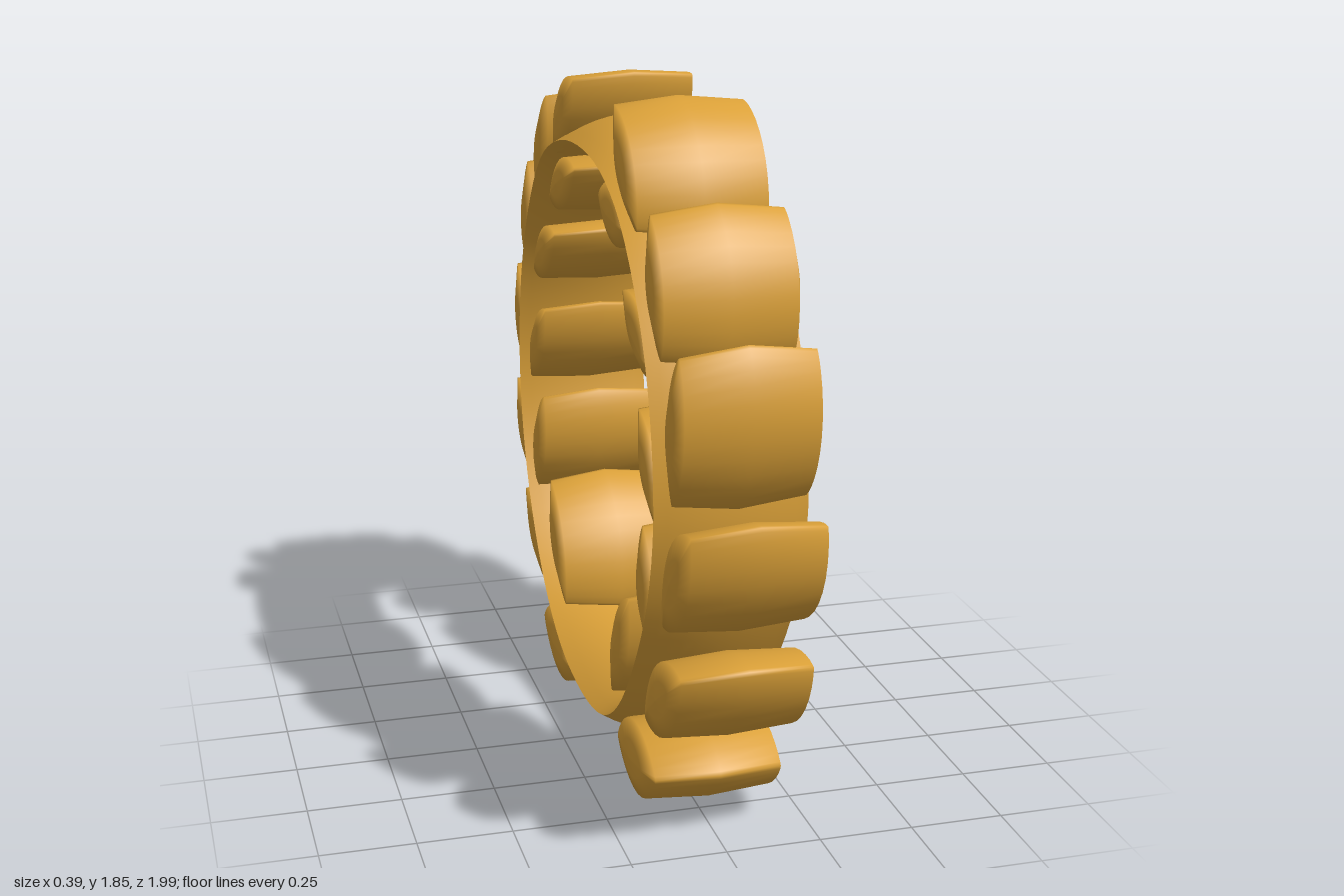
import * as THREE from 'three';

const gold = new THREE.MeshStandardMaterial({ color: 0xdaa038 });
gold.name = 'gold';

// Build an indexed surface from a grid of points; wraps around in i
function gridSurface(ni, nj, pointAt, flip, positions = [], indices = []) {
  const base = positions.length / 3;
  for (let i = 0; i < ni; i++) {
    for (let j = 0; j < nj; j++) positions.push(...pointAt(i, j));
  }
  for (let i = 0; i < ni; i++) {
    const n = (i + 1) % ni;
    for (let j = 0; j < nj - 1; j++) {
      const a = base + i * nj + j, b = base + n * nj + j;
      if (flip) indices.push(a, a + 1, b, b, a + 1, b + 1);
      else indices.push(a, b, a + 1, b, b + 1, a + 1);
    }
  }
  return { positions, indices };
}

function toGeometry({ positions, indices }) {
  const g = new THREE.BufferGeometry();
  g.setAttribute('position', new THREE.Float32BufferAttribute(positions, 3));
  g.setIndex(indices);
  g.computeVertexNormals();
  return g;
}

// Unit leaf: pointed outline along y, thickness along z, broad across x
function leafGeometry() {
  const layers = [[-0.185, 0], [-0.18, 0.45], [-0.166, 0.9], [0, 1], [0.166, 0.9], [0.18, 0.45], [0.185, 0]];
  const n = 28;
  return toGeometry(gridSurface(n, layers.length, (i, j) => {
    const t = (i / n) * Math.PI * 2, s = Math.sin(t), [x, k] = layers[j];
    return [x, 0.5 * k * Math.cos(t), 0.5 * k * Math.sign(s) * Math.abs(s) ** 1.6];
  }, false));
}

// Band: closed path of [half thickness, y, z], lens-shaped section with sharp rims
function bandGeometry() {
  const path = [
    [0.07, 1.685, 0], [0.06, 1.66, 0.24], [0.045, 1.57, 0.44], [0.035, 1.38, 0.62],
    [0.03, 1.17, 0.72], [0.028, 0.91, 0.755], [0.032, 0.68, 0.70], [0.04, 0.46, 0.57],
    [0.05, 0.27, 0.40], [0.062, 0.17, 0.23], [0.072, 0.132, 0], [0.06, 0.17, -0.28],
    [0.036, 0.28, -0.48], [0.024, 0.46, -0.65], [0.024, 0.68, -0.76], [0.026, 0.92, -0.795],
    [0.03, 1.17, -0.75], [0.036, 1.39, -0.635], [0.048, 1.57, -0.46], [0.06, 1.655, -0.25],
  ];
  const curve = new THREE.CatmullRomCurve3(path.map((p) => new THREE.Vector3(...p)), true);
  const n = 80, across = 13, half = 0.195;
  const samples = Array.from({ length: n }, (_, i) => {
    const t = curve.getTangent(i / n), len = Math.hypot(t.y, t.z);
    return { p: curve.getPoint(i / n), ny: t.z / len, nz: -t.y / len };
  });
  const sheet = (side) => (i, j) => {
    const { p, ny, nz } = samples[i], u = (2 * j) / (across - 1) - 1;
    const h = side * p.x * (1 - u * u);
    return [u * half, p.y + ny * h, p.z + nz * h];
  };
  const outer = gridSurface(n, across, sheet(1), false);
  return toGeometry(gridSurface(n, across, sheet(-1), true, outer.positions, outer.indices));
}

// Each leaf: base z, base y, tip z, tip y, thickness
const leaves = {
  frontOuterLeaf: [
    [0.51, 1.54, 0.26, 1.845, 0.18], [0.72, 1.27, 0.61, 1.64, 0.16], [0.81, 0.94, 0.875, 1.36, 0.17],
    [0.72, 0.61, 0.99, 0.955, 0.2], [0.55, 0.30, 0.92, 0.565, 0.2], [0.265, 0.13, 0.695, 0.185, 0.22],
  ],
  frontInnerLeaf: [
    [0.44, 1.53, 0.09, 1.575, 0.17], [0.67, 1.22, 0.34, 1.385, 0.15], [0.71, 0.84, 0.50, 1.13, 0.15],
    [0.60, 0.49, 0.545, 0.84, 0.165], [0.21, 0.22, 0.42, 0.59, 0.17],
  ],
  backOuterLeaf: [
    [-0.43, 1.59, -0.155, 1.845, 0.17], [-0.65, 1.40, -0.49, 1.76, 0.16], [-0.785, 1.13, -0.765, 1.53, 0.17],
    [-0.82, 0.81, -0.95, 1.18, 0.16], [-0.74, 0.50, -0.99, 0.80, 0.17], [-0.50, 0.245, -0.90, 0.46, 0.19],
    [-0.20, 0.10, -0.65, 0.12, 0.22],
  ],
  backInnerLeaf: [
    [-0.49, 1.45, -0.14, 1.60, 0.15], [-0.715, 1.19, -0.40, 1.37, 0.15], [-0.78, 0.84, -0.545, 1.12, 0.15],
    [-0.715, 0.50, -0.58, 0.85, 0.16], [-0.315, 0.255, -0.52, 0.615, 0.17],
  ],
};

export function createModel() {
  const wreath = new THREE.Group();
  wreath.name = 'wreath';

  const band = new THREE.Mesh(bandGeometry(), gold);
  band.name = 'band';
  wreath.add(band);

  const unitLeaf = leafGeometry();
  for (const [name, list] of Object.entries(leaves)) {
    list.forEach(([z0, y0, z1, y1, thickness], i) => {
      const leaf = new THREE.Mesh(unitLeaf, gold);
      leaf.name = `${name}${i + 1}`;
      leaf.position.set(0, (y0 + y1) / 2, (z0 + z1) / 2);
      leaf.rotation.x = Math.atan2(z1 - z0, y1 - y0);
      leaf.scale.set(1, Math.hypot(z1 - z0, y1 - y0), thickness);
      wreath.add(leaf);
    });
  }
  return wreath;
}
